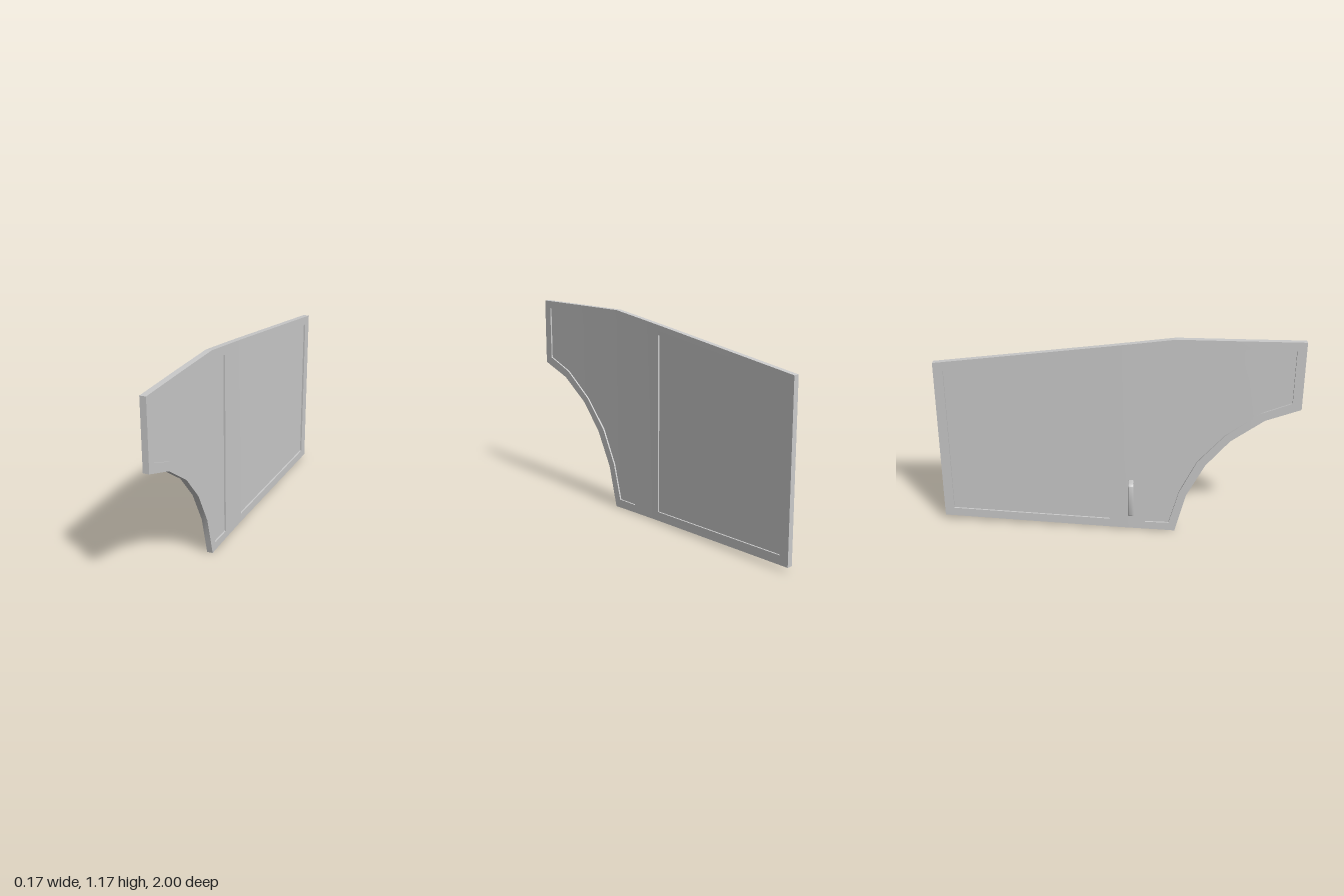
import * as THREE from 'three';
import { mergeGeometries, toCreasedNormals } from 'three/addons/utils/BufferGeometryUtils.js';

// Profiles are [z, value] points running from front (+z) to back.
const BEND = [[1, -0.052], [0.65, -0.04], [0.34, -0.027], [0.1, -0.014], [-0.03, -0.006], [-1, 0.067]];
const TOP = [[1, 1.168], [0.32, 1.168], [-1, 0.985]];
const BOTTOM = [[1, 0.785], [0.81, 0.715], [0.63, 0.585], [0.5, 0.43], [0.4, 0.235], [0.34, 0], [0.25, 0.003], [-1, 0.028]];
const FRONT_TOP = [[0.95, 1.125], [0.32, 1.12], [0.17, 1.095]];
const FRONT_BOTTOM = [[0.95, 0.82], [0.785, 0.755], [0.6, 0.615], [0.455, 0.45], [0.36, 0.255], [0.305, 0.05], [0.17, 0.05]];
const REAR_TOP = [[-0.03, 1.065], [-0.945, 0.942]];
const REAR_BOTTOM = [[-0.03, 0.06], [-0.945, 0.077]];

const FRAME_HALF = 0.0165;
const INSET_HALF = 0.007;

const stations = [...new Set(
  [BEND, TOP, BOTTOM, FRONT_TOP, FRONT_BOTTOM, REAR_TOP, REAR_BOTTOM].flat().map((p) => p[0])
)].sort((a, b) => b - a);

function sample(profile, z) {
  for (let i = 0; i < profile.length - 1; i++) {
    const [z0, v0] = profile[i];
    const [z1, v1] = profile[i + 1];
    if (z <= z0 && z >= z1) return v0 + ((v1 - v0) * (z0 - z)) / (z0 - z1);
  }
  return profile[profile.length - 1][1];
}

// Lofts a bent slab between two height profiles, from zFront to zBack.
function slab(zFront, zBack, top, bottom, half) {
  const rings = stations.filter((z) => z <= zFront && z >= zBack).map((z) => {
    const x = sample(BEND, z);
    const t = sample(top, z);
    const b = sample(bottom, z);
    return [[x + half, t, z], [x + half, b, z], [x - half, b, z], [x - half, t, z]];
  });
  const positions = [];
  const quad = (a, b, c, d) => positions.push(...a, ...b, ...c, ...a, ...c, ...d);
  for (let r = 0; r < rings.length - 1; r++) {
    const a = rings[r];
    const b = rings[r + 1];
    for (let i = 0; i < 4; i++) {
      const j = (i + 1) % 4;
      quad(a[i], a[j], b[j], b[i]);
    }
  }
  quad(...[...rings[0]].reverse());
  quad(...rings[rings.length - 1]);
  const geometry = new THREE.BufferGeometry();
  geometry.setAttribute('position', new THREE.Float32BufferAttribute(positions, 3));
  geometry.computeVertexNormals();
  return geometry;
}

function handleGeometry() {
  const inner = -0.027, outer = -0.088, low = 0.118, high = 0.32, r = 0.02;
  const s = new THREE.Shape();
  s.moveTo(inner, low);
  s.lineTo(outer + 0.008, low);
  s.quadraticCurveTo(outer, low, outer, low + 0.008);
  s.lineTo(outer, high - r);
  s.quadraticCurveTo(outer, high, outer + r, high);
  s.lineTo(inner, high);
  s.lineTo(inner, 0.3);
  // grip opening
  s.lineTo(-0.053, 0.3);
  s.quadraticCurveTo(-0.065, 0.3, -0.065, 0.285);
  s.lineTo(-0.065, 0.185);
  s.quadraticCurveTo(-0.065, 0.165, -0.048, 0.163);
  s.lineTo(inner, 0.163);
  s.closePath();
  const geometry = new THREE.ExtrudeGeometry(s, {
    depth: 0.02, bevelEnabled: true, bevelThickness: 0.006, bevelSize: 0.006,
    bevelOffset: -0.006, bevelSegments: 3, curveSegments: 6,
  });
  geometry.translate(0, 0, 0.078);
  return toCreasedNormals(geometry, 0.7);
}

export function createModel() {
  const model = new THREE.Group();
  model.name = 'sidePanel';
  const material = new THREE.MeshStandardMaterial({ color: 0xcccccc });
  const add = (name, geometry) => {
    const mesh = new THREE.Mesh(geometry, material);
    mesh.name = name;
    model.add(mesh);
  };

  // Raised frame: end borders, centre post, and rails around both openings
  const frame = mergeGeometries([
    slab(1, 0.95, TOP, BOTTOM, FRAME_HALF),
    slab(0.95, 0.17, TOP, FRONT_TOP, FRAME_HALF),
    slab(0.95, 0.17, FRONT_BOTTOM, BOTTOM, FRAME_HALF),
    slab(0.17, -0.03, TOP, BOTTOM, FRAME_HALF),
    slab(-0.03, -0.945, TOP, REAR_TOP, FRAME_HALF),
    slab(-0.03, -0.945, REAR_BOTTOM, BOTTOM, FRAME_HALF),
    slab(-0.945, -1, TOP, BOTTOM, FRAME_HALF),
  ]);
  add('frame', toCreasedNormals(frame, 0.4));

  // Recessed panels, sunk on both faces
  add('frontInset', toCreasedNormals(slab(0.95, 0.17, FRONT_TOP, FRONT_BOTTOM, INSET_HALF), 0.4));
  add('rearInset', toCreasedNormals(slab(-0.03, -0.945, REAR_TOP, REAR_BOTTOM, INSET_HALF), 0.4));

  // Pull handle on the inner face
  add('handle', handleGeometry());
  return model;
}
